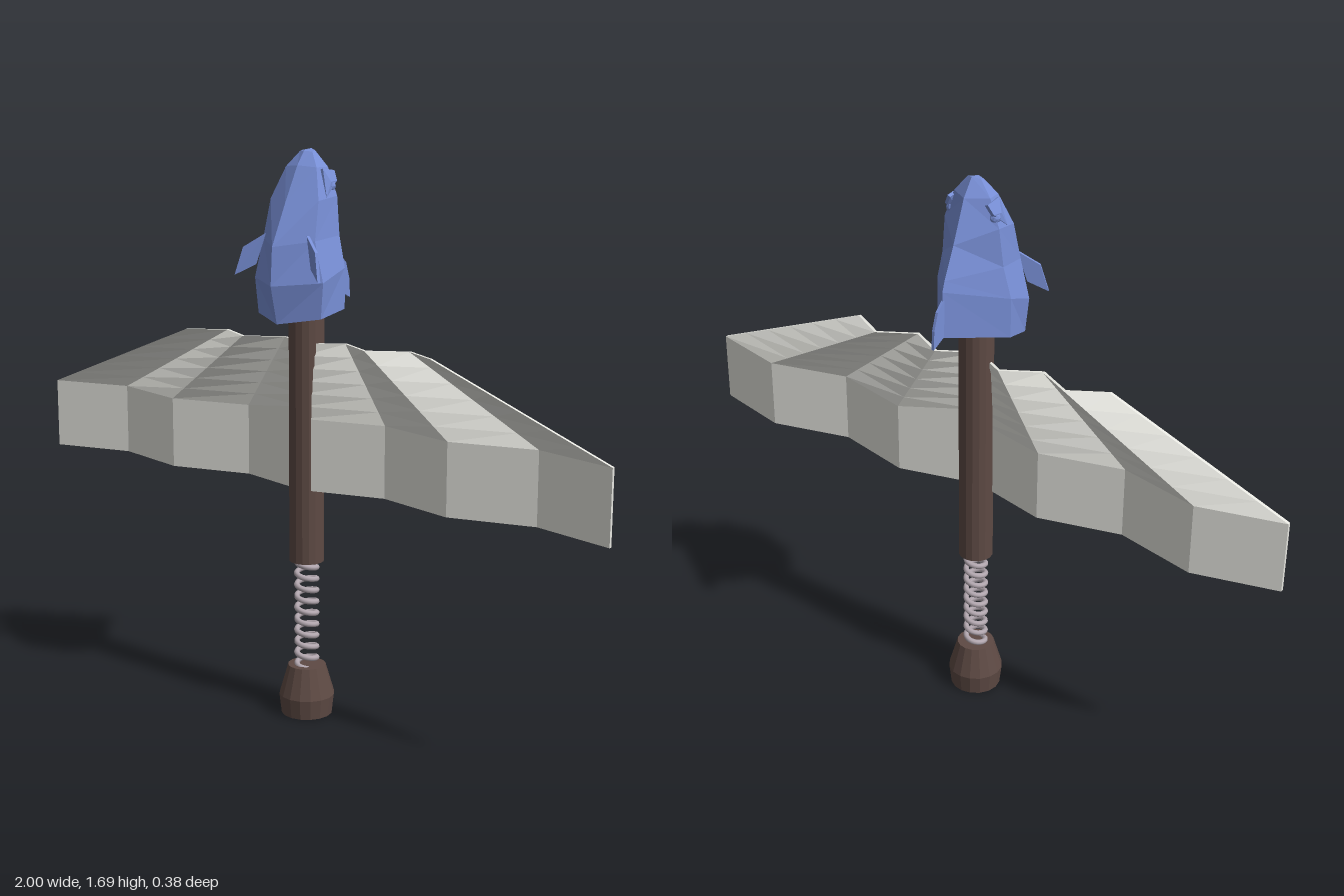
import * as THREE from 'three';
import { ConvexGeometry } from 'three/addons/geometries/ConvexGeometry.js';

const CX = -0.012, CZ = 0.024; // axis of the pole

const paint = (name, color) => {
  const m = new THREE.MeshStandardMaterial({ color, flatShading: true, side: THREE.DoubleSide });
  m.name = name;
  return m;
};

const facet = (geometry) => {
  const g = geometry.toNonIndexed();
  g.computeVertexNormals();
  return g;
};

// Pleated sheet: a thin box with folded columns; above the straight lower band
// the rows are gathered towards the middle
function pleatedWing() {
  const rows = 7;
  const g = new THREE.BoxGeometry(8, rows, 0.01, 8, rows, 1).translate(0, rows / 2, 0);
  const p = g.attributes.position;
  for (let k = 0; k < p.count; k++) {
    const column = Math.round(p.getX(k)), row = Math.round(p.getY(k));
    const t = Math.max(0, (row - 1) / (rows - 1));
    const fold = column % 2 === 0 ? 0.058 : -0.005;
    p.setXYZ(k, column / 4 * (1 - 0.56 * t), row === 0 ? 0.703 : 0.917 + 0.222 * t, p.getZ(k) + fold);
  }
  return facet(g);
}

// Head: six-sided rings [front y,z], [side x,y,z], [rear side x,y,z], [back y,z]
function headShell() {
  const rings = [
    [1.205, 0.163, 0.112, 1.222, 0.105, 0.126, 1.243, 0.01, 1.265, -0.142],
    [1.315, 0.19, 0.122, 1.325, 0.108, 0.126, 1.36, 0.01, 1.4, -0.138],
    [1.425, 0.183, 0.092, 1.44, 0.106, 0.103, 1.45, 0.005, 1.43, -0.128],
    [1.54, 0.124, 0.085, 1.55, 0.08, 0.091, 1.56, 0, 1.52, -0.086],
    [1.645, 0.066, 0.054, 1.64, 0.048, 0.06, 1.64, 0.002, 1.64, -0.037],
    [1.684, 0.035, 0.022, 1.682, 0.025, 0.022, 1.685, 0.012, 1.69, 0],
  ];
  const verts = [], index = [];
  for (const [fy, fz, ax, ay, az, bx, by, bz, ky, kz] of rings) {
    verts.push(0, fy, fz, ax, ay, az, bx, by, bz, 0, ky, kz, -bx, by, bz, -ax, ay, az);
  }
  for (let r = 0; r < rings.length - 1; r++) {
    for (let s = 0; s < 6; s++) {
      const a = r * 6 + s, b = r * 6 + (s + 1) % 6;
      // Mirror the diagonals so both halves match
      if (s < 3) index.push(a, b, b + 6, a, b + 6, a + 6);
      else index.push(a, b, a + 6, b, b + 6, a + 6);
    }
  }
  // Caps below and above
  const top = (rings.length - 1) * 6;
  for (let s = 1; s < 5; s++) {
    index.push(0, s + 1, s, top, top + s, top + s + 1);
  }
  const g = new THREE.BufferGeometry();
  g.setAttribute('position', new THREE.Float32BufferAttribute(verts, 3));
  g.setIndex(index);
  return facet(g);
}

// Thin plate through corner points, thickened along a direction
function plate(corners, direction, thickness) {
  const d = new THREE.Vector3(...direction).normalize().multiplyScalar(thickness / 2);
  const points = corners.flatMap((c) => {
    const v = new THREE.Vector3(...c);
    return [v.clone().add(d), v.clone().sub(d)];
  });
  return new ConvexGeometry(points);
}

class Coil extends THREE.Curve {
  getPoint(t, target = new THREE.Vector3()) {
    const a = t * Math.PI * 2 * 10;
    return target.set(0.03 * Math.cos(a), 0.14 + 0.355 * t, 0.03 * Math.sin(a));
  }
}

export function createModel() {
  const group = new THREE.Group();
  const brown = paint('dark brown', 0x5e4a44);
  const grey = paint('pale grey', 0xe6e6e0);
  const blue = paint('blue', 0x788fd6);
  const steel = paint('steel', 0xb2a7af);
  steel.flatShading = false;

  const add = (name, geometry, material, parent = group) => {
    const mesh = new THREE.Mesh(geometry, material);
    mesh.name = name;
    parent.add(mesh);
    return mesh;
  };

  // Foot, spring and pole share one axis
  const stick = new THREE.Group();
  stick.name = 'stick';
  stick.position.set(CX, 0, CZ);
  group.add(stick);
  const footProfile = [[0, 0], [0.077, 0], [0.084, 0.06], [0.057, 0.152], [0, 0.152]]
    .map(([x, y]) => new THREE.Vector2(x, y));
  add('foot', facet(new THREE.LatheGeometry(footProfile, 16)), brown, stick);
  add('spring', new THREE.TubeGeometry(new Coil(), 240, 0.0085, 8), steel, stick);
  const pole = new THREE.CylinderGeometry(0.052, 0.052, 0.82, 16);
  add('pole', pole.translate(0, 0.888, 0), brown, stick);

  add('pleatedWing', pleatedWing(), grey);

  // Fish head with its fins, brows and eyes
  const head = new THREE.Group();
  head.name = 'head';
  head.position.x = CX;
  group.add(head);
  add('headShell', headShell(), blue, head);
  add('backFin', plate([[0, 1.385, -0.125], [0, 1.35, -0.165], [0, 1.3, -0.182],
    [0, 1.245, -0.185], [0, 1.275, -0.16], [0, 1.27, -0.13]], [1, 0, 0], 0.008), blue, head);
  for (const s of [1, -1]) {
    const side = s > 0 ? 'left' : 'right';
    add(side + 'Fin', plate([[s * 0.075, 1.455, 0.115], [s * 0.13, 1.415, 0.15],
      [s * 0.15, 1.335, 0.165], [s * 0.1, 1.365, 0.13]], [-s * 0.5, 0, 1], 0.009), blue, head);
    const eye = add(side + 'Eye', new THREE.IcosahedronGeometry(0.018, 1), blue, head);
    eye.position.set(s * 0.07, 1.587, 0.008);
    add(side + 'Brow', plate([[s * 0.062, 1.635, 0.035], [s * 0.083, 1.555, 0.045],
      [s * 0.08, 1.598, 0.02], [s * 0.077, 1.6, -0.012], [s * 0.062, 1.628, -0.02]],
    [s, 0.4, 0], 0.01), blue, head);
  }
  return group;
}
